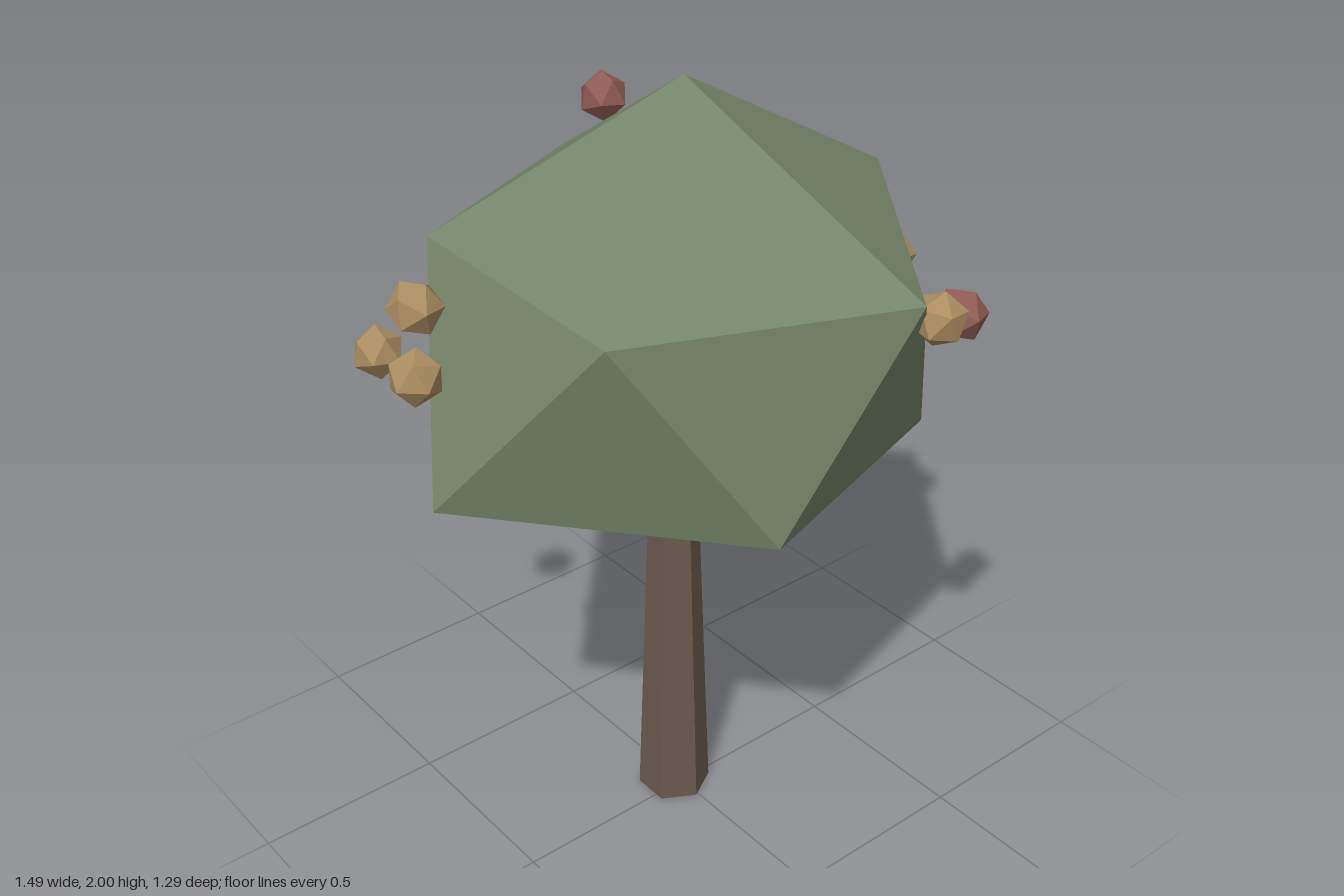
import * as THREE from 'three';
import { ConvexGeometry } from 'three/addons/geometries/ConvexGeometry.js';

const material = (name, color) => {
  const m = new THREE.MeshStandardMaterial({ color, flatShading: true });
  m.name = name;
  return m;
};

export function createModel() {
  const leaf = material('leaf green', 0x76866a);
  const bark = material('bark brown', 0x6a5a4c);
  const gold = material('golden fruit', 0xac8d61);
  const red = material('red fruit', 0x8f5c54);

  const tree = new THREE.Group();
  tree.name = 'tree';
  const add = (name, geometry, mat, x = 0, y = 0, z = 0) => {
    const mesh = new THREE.Mesh(geometry, mat);
    mesh.name = name;
    mesh.position.set(x, y, z);
    tree.add(mesh);
    return mesh;
  };
  // Irregular twenty-sided clump: hull of twelve jittered corners
  const clump = (name, corners) =>
    add(name, new ConvexGeometry(corners.map((c) => new THREE.Vector3(...c))), leaf);

  // Six-sided tapered trunk, its top hidden in the crown
  add('trunk', new THREE.CylinderGeometry(0.06, 0.096, 1, 6), bark, -0.007, 0.5, -0.025);

  // Main crown: tip, upper ring, lower ring, base
  clump('mainCrown', [
    [0.02, 2, -0.02],
    [-0.46, 1.64, -0.35], [0.14, 1.62, -0.65], [0.62, 1.66, 0], [0.16, 1.635, 0.61], [-0.5, 1.65, 0.365],
    [-0.69, 1.15, -0.03], [-0.18, 1.12, -0.6], [0.48, 1.12, -0.45], [0.52, 1.09, 0.3], [-0.18, 1.135, 0.55],
    [0.04, 0.775, -0.08],
  ]);

  // Smaller clump on the left, sunk into the main crown
  clump('sideCrown', [
    [0.4, 1.55, -0.14],
    [0.71, 1.41, -0.17], [0.45, 1.38, 0.3], [0.03, 1.31, 0.08], [0.08, 1.34, -0.44], [0.43, 1.4, -0.56],
    [0.69, 1.05, -0.385], [0.64, 1.02, 0.14], [0.27, 1.05, 0.2], [0.02, 0.98, -0.13], [0.2, 1.02, -0.55],
    [0.28, 0.86, -0.14],
  ]);

  // Faceted fruits around the crown
  const fruit = new THREE.IcosahedronGeometry(0.065, 0);
  const scatter = (name, mat, spots) => spots.forEach((p, i) => {
    add(name + (i + 1), fruit, mat, ...p).rotation.set(0.4 + i * 0.9, i * 1.3, 0.3 + i * 0.7);
  });
  scatter('goldFruit', gold, [
    [-0.645, 1.61, -0.11], [-0.69, 1.48, -0.055], [-0.58, 1.36, -0.41],
    [0.23, 1.575, 0.585], [0.68, 1.39, 0.01], [0.5, 1.42, -0.495],
  ]);
  scatter('redFruit', red, [[0.35, 1.53, 0.54], [0.67, 1.205, 0.03], [0.2, 1.76, -0.555]]);

  return tree;
}
